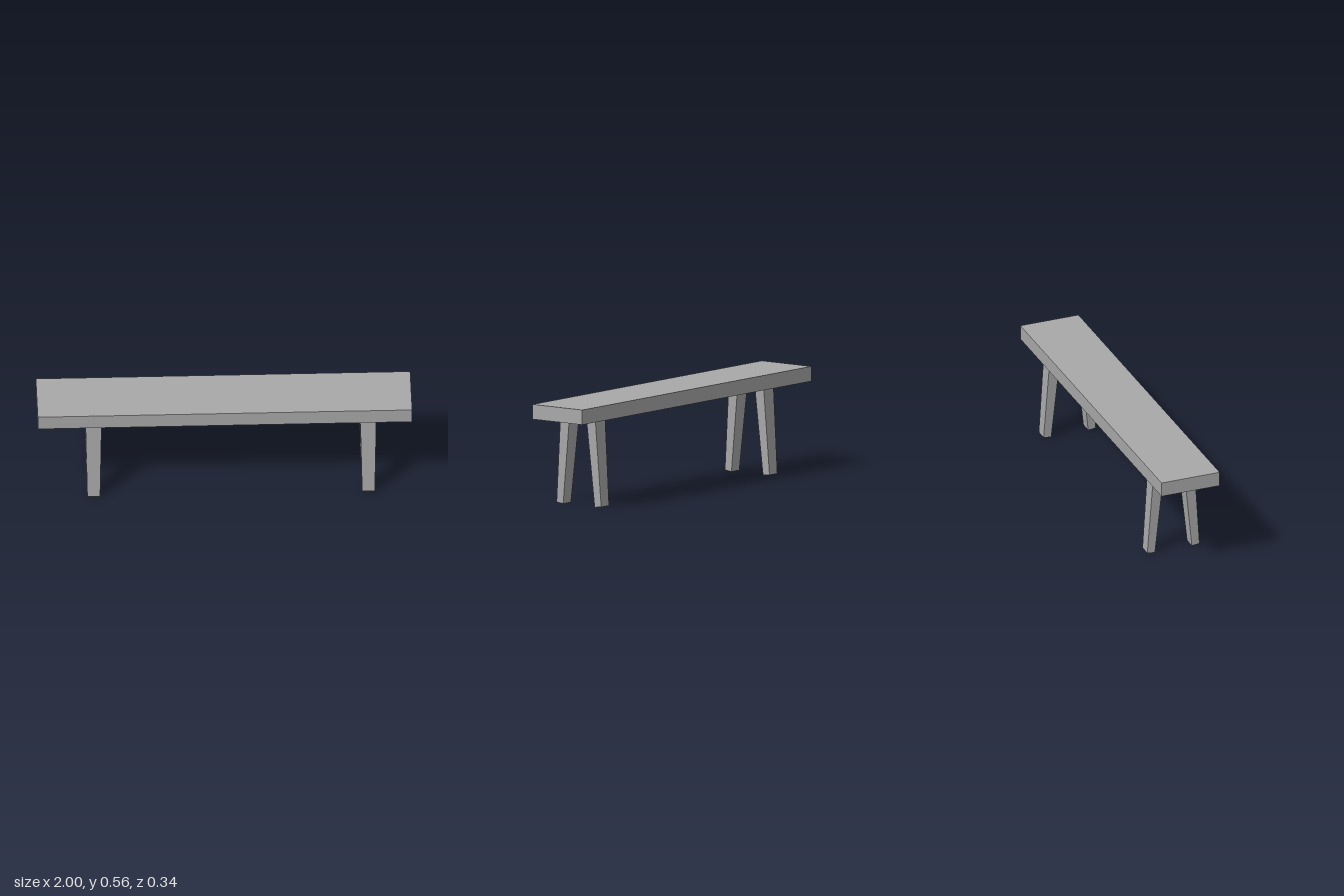
import * as THREE from 'three';

const SEAT_BOTTOM = 0.475;
const SEAT_TOP = 0.555;

// Tapered, splayed leg: a box whose corners follow the leg's side profile.
// side = 1 for front, -1 for back; outer/inner are distances from the z = 0 plane.
function legGeometry(side, { topOuter, topInner, footOuter, footInner }) {
  const geometry = new THREE.BoxGeometry(1, 1, 1);
  const pos = geometry.attributes.position;
  for (let i = 0; i < pos.count; i++) {
    const isTop = pos.getY(i) > 0;
    const isOuter = pos.getZ(i) * side > 0;
    const halfWidth = isTop ? 0.043 : 0.034;
    const z = isTop ? (isOuter ? topOuter : topInner) : (isOuter ? footOuter : footInner);
    // the foot is cut square to the leg, so its outer edge lifts slightly
    const y = isTop ? SEAT_BOTTOM + 0.002 : (isOuter ? 0.005 : 0);
    pos.setXYZ(i, Math.sign(pos.getX(i)) * halfWidth, y, z * side);
  }
  geometry.computeVertexNormals();
  return geometry;
}

export function createModel() {
  const model = new THREE.Group();
  model.name = 'bench';
  const grey = new THREE.MeshStandardMaterial({ color: 0xa8a8a8 });
  grey.name = 'plain grey';

  // Seat plank
  const seat = new THREE.Mesh(new THREE.BoxGeometry(2, SEAT_TOP - SEAT_BOTTOM, 0.335), grey);
  seat.name = 'seat';
  seat.position.y = (SEAT_TOP + SEAT_BOTTOM) / 2;
  model.add(seat);

  // Two pairs of splayed legs
  const front = legGeometry(1, { topOuter: 0.126, topInner: 0.065, footOuter: 0.159, footInner: 0.115 });
  const back = legGeometry(-1, { topOuter: 0.109, topInner: 0.049, footOuter: 0.142, footInner: 0.098 });
  for (const [end, x] of [['Left', 0.767], ['Right', -0.701]]) {
    for (const [row, geometry] of [['front', front], ['back', back]]) {
      const leg = new THREE.Mesh(geometry, grey);
      leg.name = `${row}${end}Leg`;
      leg.position.x = x;
      model.add(leg);
    }
  }
  return model;
}
